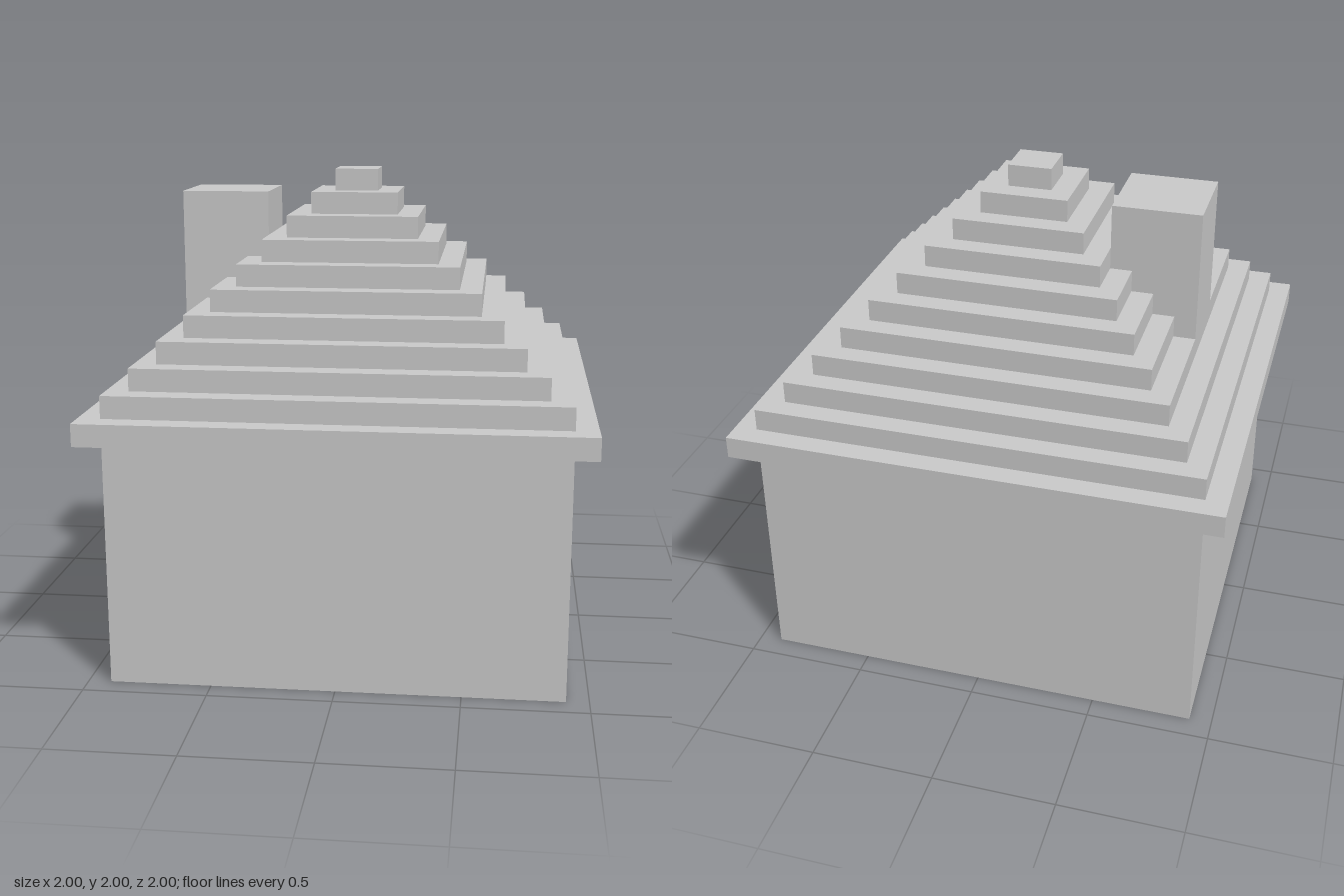
import * as THREE from 'three';

const U = 1 / 11; // one step of the roof
const material = new THREE.MeshStandardMaterial({ color: 0xcccccc, flatShading: true });

// Box standing on height y
function block(name, width, height, depth, x, y) {
  const mesh = new THREE.Mesh(new THREE.BoxGeometry(width, height, depth), material);
  mesh.name = name;
  mesh.position.set(x, y + height / 2, 0);
  return mesh;
}

export function createModel() {
  const house = new THREE.Group();
  house.name = 'house';

  // Plain square walls
  house.add(block('walls', 20 * U, 1, 20 * U, 0, 0));

  // Stepped pyramid roof, each layer one step narrower per side
  const roof = new THREE.Group();
  roof.name = 'roof';
  for (let i = 0; i < 11; i++) {
    const size = 2 * (11 - i) * U;
    roof.add(block(`roofStep${i + 1}`, size, U, size, 0, 1 + i * U));
  }
  house.add(roof);

  // Chimney standing on the fourth step, on the model's right
  house.add(block('chimney', 4 * U, 6 * U, 4 * U, -6 * U, 1 + 4 * U));

  return house;
}
